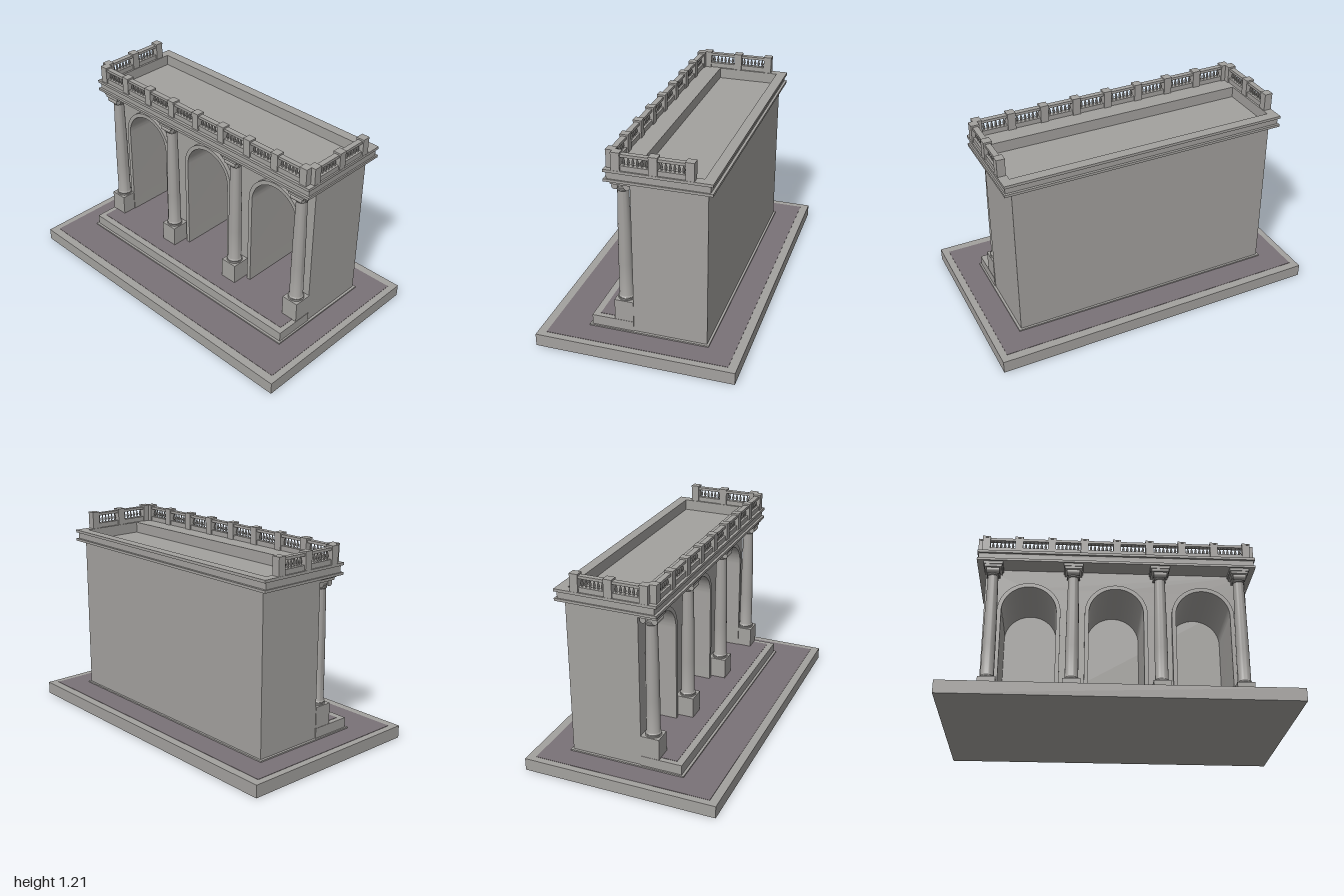
import * as THREE from 'three';
import { toCreasedNormals } from 'three/addons/utils/BufferGeometryUtils.js';

export function createModel() {
  const root = new THREE.Group();
  root.name = 'arcadePavilion';
  const stone = new THREE.MeshStandardMaterial({ color: 0xa3a19e });
  stone.name = 'stone';
  const paving = new THREE.MeshStandardMaterial({ color: 0x7a7277 });
  paving.name = 'paving';

  const add = (name, geo, mat = stone, parent = root) => {
    const m = new THREE.Mesh(geo, mat);
    m.name = name;
    parent.add(m);
    return m;
  };
  // Box given by its limits on each axis
  const box = (name, x0, x1, y0, y1, z0, z1, mat, parent) => {
    const m = add(name, new THREE.BoxGeometry(x1 - x0, y1 - y0, z1 - z0), mat, parent);
    m.position.set((x0 + x1) / 2, (y0 + y1) / 2, (z0 + z1) / 2);
    return m;
  };
  const extrude = (shape, depth) => toCreasedNormals(
    new THREE.ExtrudeGeometry(shape, { depth, bevelEnabled: false, curveSegments: 32 }), 0.5);
  const lathe = (pts, seg) => toCreasedNormals(
    new THREE.LatheGeometry(pts.map(([r, y]) => new THREE.Vector2(r, y)), seg), 0.6);
  const rect = (path, x, y0, y1) => path
    .moveTo(-x, y0).lineTo(x, y0).lineTo(x, y1).lineTo(-x, y1).closePath();
  // Round-headed opening standing on the porch floor
  const FLOOR = 0.145, SPRING = 0.745;
  const arch = (path, cx, r) => path.moveTo(cx - r, FLOOR).lineTo(cx + r, FLOOR)
    .lineTo(cx + r, SPRING).absarc(cx, SPRING, r, 0, Math.PI, false).lineTo(cx - r, FLOOR);

  // Ground slab with its paving, low plinth and porch step
  box('groundSlab', -1, 1, 0, 0.075, -0.585, 0.585);
  box('groundPaving', -0.96, 0.96, 0.074, 0.077, -0.535, 0.535, paving);
  box('plinth', -0.825, 0.825, 0.075, 0.085, -0.385, 0.325);
  box('porchStep', -0.815, 0.815, 0.085, FLOOR, 0.06, 0.31);
  box('porchPaving', -0.785, 0.785, 0.144, 0.147, 0.06, 0.27, paving);

  // Main block with three deep arched niches
  const archX = [-0.535, 0, 0.535], R = 0.168;
  const wall = rect(new THREE.Shape(), 0.81, 0.085, 1.04);
  archX.forEach((cx) => wall.holes.push(arch(new THREE.Path(), cx, R)));
  add('nicheBlock', extrude(wall, 0.4)).position.z = -0.34;
  box('backWall', -0.81, 0.81, 0.085, 1.04, -0.372, -0.34);
  for (const cx of archX) {
    box('nichePaving', cx - R, cx + R, 0.144, 0.147, -0.34, 0.06, paving);
    // Raised band around the opening, open at the floor
    const r = R + 0.025;
    const band = new THREE.Shape().moveTo(cx + R, FLOOR).lineTo(cx + r, FLOOR)
      .lineTo(cx + r, SPRING).absarc(cx, SPRING, r, 0, Math.PI, false)
      .lineTo(cx - r, FLOOR).lineTo(cx - R, FLOOR).lineTo(cx - R, SPRING)
      .absarc(cx, SPRING, R, Math.PI, 0, true).lineTo(cx + R, FLOOR);
    add('archBand', extrude(band, 0.024)).position.z = 0.06;
  }

  // Columns on pedestals with scrolled capitals
  const shaftGeo = lathe([[0, 0.272], [0.047, 0.272], [0.047, 0.278], [0.043, 0.281], [0.046, 0.286],
    [0.046, 0.291], [0.042, 0.295], [0.04, 0.3], [0.0395, 0.5], [0.037, 0.72], [0.032, 0.955],
    [0.036, 0.96], [0.036, 0.967], [0.032, 0.971], [0.04, 0.99], [0, 0.99]], 32);
  const scrollGeo = new THREE.CylinderGeometry(0.018, 0.018, 0.08, 24).rotateZ(Math.PI / 2);
  for (const x of [-0.76, -0.267, 0.267, 0.76]) {
    const col = new THREE.Group();
    col.name = 'column';
    col.position.set(x, 0, 0.117);
    root.add(col);
    box('pedestal', -0.053, 0.053, FLOOR, 0.274, -0.057, 0.055, stone, col);
    add('shaft', shaftGeo, stone, col);
    for (const s of [-1, 1]) add('scroll', scrollGeo, stone, col).position.set(0, 0.985, s * 0.034);
    box('scrollBand', -0.038, 0.038, 0.988, 1.003, -0.034, 0.034, stone, col);
    box('abacus', -0.053, 0.053, 1.002, 1.018, -0.057, 0.055, stone, col);
    box('abacusTop', -0.06, 0.06, 1.018, 1.037, -0.057, 0.06, stone, col);
  }

  // Cornice: three stacked frames around the sunken roof
  const cornice = (name, x, zBack, zFront, y0, y1) => {
    const s = rect(new THREE.Shape(), x, -zFront, -zBack);
    s.holes.push(rect(new THREE.Path(), 0.807, -0.03, 0.35));
    add(name, extrude(s, y1 - y0).rotateX(-Math.PI / 2)).position.y = y0;
  };
  cornice('lowerCornice', 0.86, -0.41, 0.19, 1.036, 1.051);
  cornice('frieze', 0.852, -0.395, 0.175, 1.051, 1.09);
  cornice('upperCornice', 0.86, -0.41, 0.19, 1.09, 1.106);

  // Balustrade along the front and both sides
  const TOP = 1.106, H = 0.024;
  const balusterGeo = lathe([[0.005, 0], [0.005, 0.005], [0.003, 0.008], [0.0075, 0.016], [0.008, 0.022],
    [0.006, 0.031], [0.003, 0.041], [0.003, 0.046], [0.005, 0.049], [0.005, 0.053]], 10);
  const post = (x, z) => {
    box('post', x - H, x + H, TOP - 0.002, 1.205, z - H, z + H);
    box('postCap', x - H - 0.001, x + H + 0.001, 1.2, 1.21, z - H - 0.001, z + H + 0.001);
  };
  // One bay between the posts at a and b, each given as [x, z]
  const bay = (a, b) => {
    const g = new THREE.Group();
    g.name = 'balustradeBay';
    const dx = b[0] - a[0], dz = b[1] - a[1], len = Math.hypot(dx, dz);
    g.position.set((a[0] + b[0]) / 2, 0, (a[1] + b[1]) / 2);
    g.rotation.y = Math.atan2(-dz, dx);
    root.add(g);
    const half = len / 2 - H;
    box('bottomRail', -half, half, TOP - 0.001, 1.135, -0.016, 0.016, stone, g);
    box('topRail', -half, half, 1.184, 1.2, -0.016, 0.016, stone, g);
    const n = 6, step = (2 * half) / (n + 0.3);
    for (let i = 0; i < n; i++) {
      add('baluster', balusterGeo, stone, g).position.set((i - (n - 1) / 2) * step, 1.133, 0);
    }
  };
  const run = (pts) => pts.forEach((p, i) => {
    post(p[0], p[1]);
    if (i) bay(pts[i - 1], p);
  });
  run(Array.from({ length: 9 }, (_, i) => [(i - 4) * 0.202, 0.157]));
  for (const s of [-1, 1]) run([0.119, -0.087, -0.286].map((z) => [s * 0.835, z]));
  return root;
}
